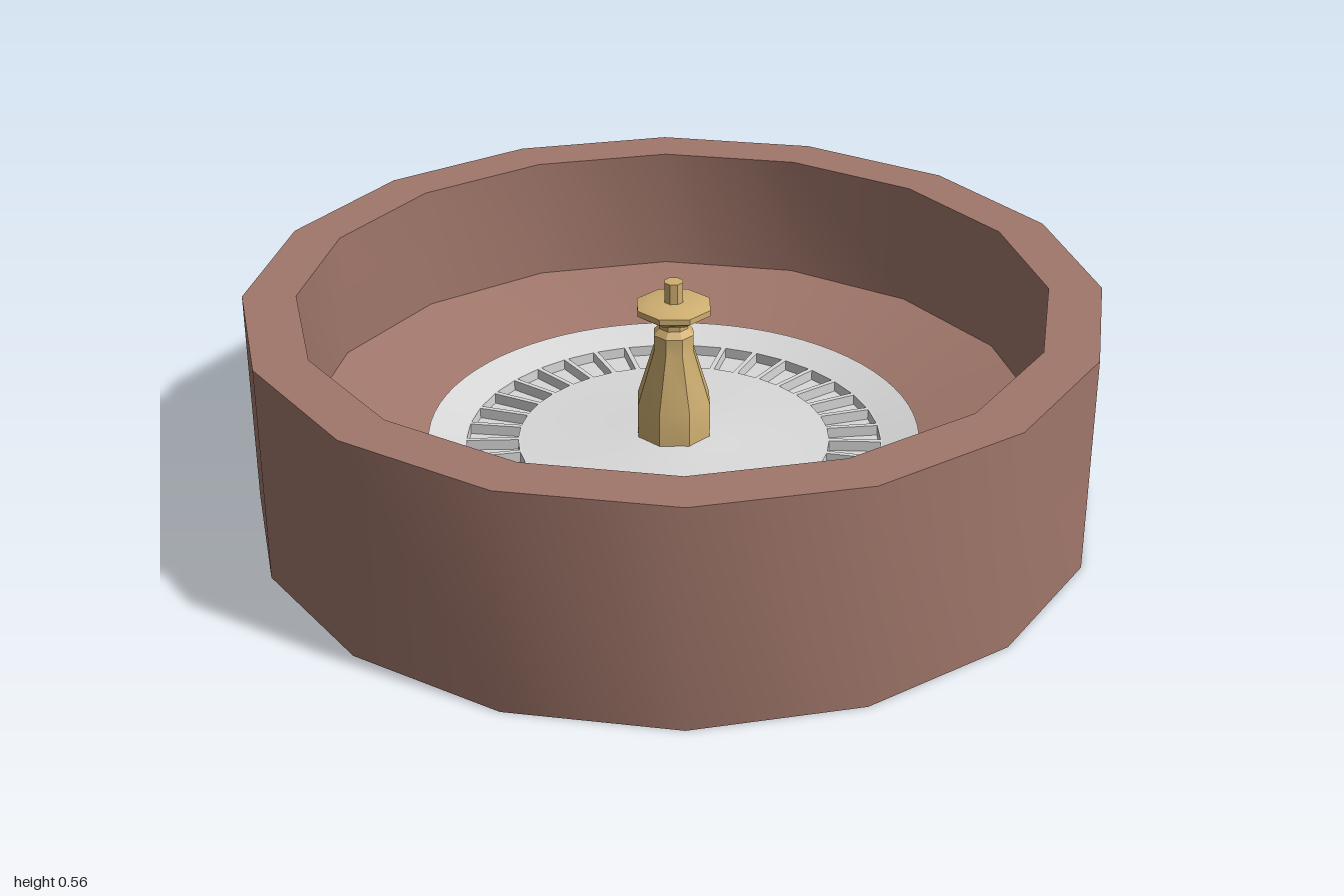
import * as THREE from 'three';
import { toCreasedNormals, mergeGeometries } from 'three/addons/utils/BufferGeometryUtils.js';

const material = (name, color) => {
  const m = new THREE.MeshStandardMaterial({ color, side: THREE.DoubleSide });
  m.name = name;
  return m;
};

const POCKETS = 37;
const INNER = 0.372, OUTER = 0.495; // radii of the pocket ring
const DECK = 0.148, FLOOR = 0.122; // heights of the pocket ring
const HALF_GAP = 0.006;

// Corners of one pocket as [x, z], going round the outline
function pocketCorners(i) {
  const mid = (i / POCKETS) * Math.PI * 2;
  const corner = (r, side) => {
    const a = mid + side * (Math.PI / POCKETS - HALF_GAP / r);
    return [r * Math.sin(a), r * Math.cos(a)];
  };
  return [corner(INNER, -1), corner(OUTER, -1), corner(OUTER, 1), corner(INNER, 1)];
}

// Open cup: four walls and a floor
function pocketCup(corners) {
  const pos = [];
  for (const y of [DECK, FLOOR]) for (const [x, z] of corners) pos.push(x, y, z);
  const index = [4, 5, 6, 4, 6, 7];
  for (let k = 0; k < 4; k++) {
    const n = (k + 1) % 4;
    index.push(k, n, n + 4, k, n + 4, k + 4);
  }
  const g = new THREE.BufferGeometry();
  g.setAttribute('position', new THREE.Float32BufferAttribute(pos, 3));
  g.setIndex(index);
  const flat = g.toNonIndexed();
  flat.computeVertexNormals();
  return flat;
}

export function createModel() {
  const model = new THREE.Group();
  model.name = 'rouletteWheel';
  const wood = material('brown wood', 0xa1776b);
  const silver = material('silver', 0xd9d9d9);
  const brass = material('brass', 0xd0b072);

  const add = (name, geometry, mat) => {
    const mesh = new THREE.Mesh(geometry, mat);
    mesh.name = name;
    model.add(mesh);
    return mesh;
  };
  const turned = (name, profile, sides, mat) => {
    const g = new THREE.LatheGeometry(profile.map(([r, y]) => new THREE.Vector2(r, y)), sides);
    return add(name, toCreasedNormals(g, Math.PI / 6), mat);
  };

  // Sixteen-sided bowl, open underneath
  turned('bowl', [[1, 0], [1, 0.527], [0.875, 0.527], [0.875, 0.215], [0.51, 0.125], [0.51, 0.141]], 16, wood);

  // Sloping silver rim and the gently raised centre
  turned('wheelRim', [[0.585, 0.143], [0.585, 0.17], [0.498, DECK]], 74, silver);
  turned('wheelCentre', [[0.366, DECK], [0.25, 0.153], [0.12, 0.163], [0, 0.173]], 74, silver);

  // Deck between the pockets, pierced by one hole per pocket
  const deck = new THREE.Shape().absarc(0, 0, 0.5, 0, Math.PI * 2);
  deck.holes.push(new THREE.Path().absarc(0, 0, 0.364, 0, Math.PI * 2, true));
  const cups = [];
  for (let i = 0; i < POCKETS; i++) {
    const corners = pocketCorners(i);
    deck.holes.push(new THREE.Path(corners.map(([x, z]) => new THREE.Vector2(x, -z))));
    cups.push(pocketCup(corners));
  }
  const deckGeometry = new THREE.ShapeGeometry(deck, 74);
  deckGeometry.rotateX(-Math.PI / 2);
  deckGeometry.translate(0, DECK, 0);
  add('pocketDeck', deckGeometry, silver);
  add('pockets', mergeGeometries(cups), silver);

  // Eight-sided spindle with cap and pin
  turned('spindle', [
    [0.092, 0.165], [0.092, 0.25], [0.05, 0.385], [0.05, 0.425], [0.036, 0.44],
    [0.036, 0.455], [0.065, 0.465], [0.092, 0.482], [0.092, 0.496], [0.06, 0.505], [0, 0.505],
  ], 8, brass);
  turned('spindlePin', [[0.023, 0.5], [0.023, 0.555], [0, 0.555]], 8, brass);

  return model;
}
